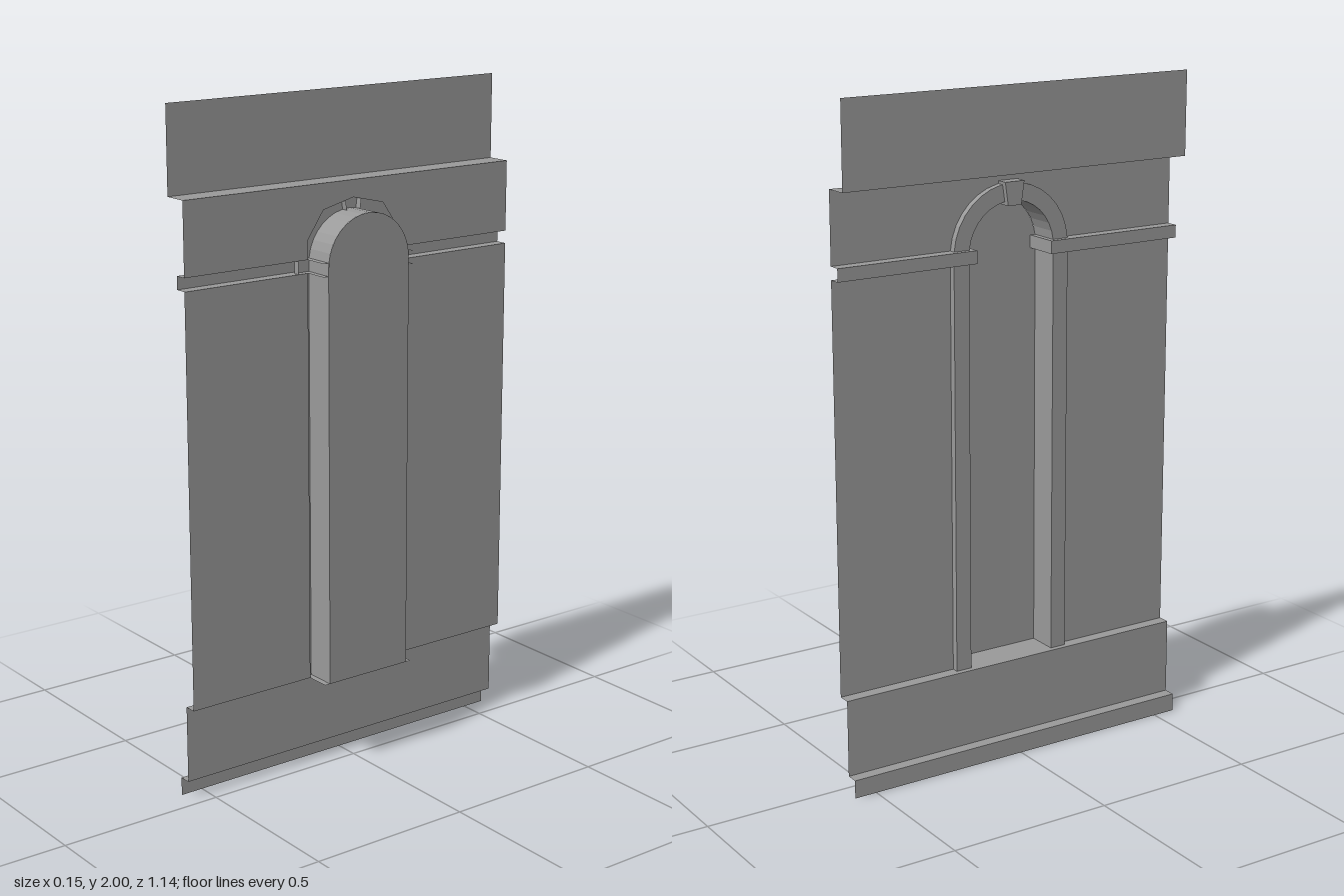
import * as THREE from 'three';

const material = new THREE.MeshStandardMaterial({ color: 0x9a9a9a, flatShading: true, side: THREE.DoubleSide });

// Key measures: half length, niche depth, niche and frame half widths, arch centre height
const HALF = 0.57, DEEP = 0.073, IN = 0.142, OUT = 0.192, OPEN = 0.16, SPRING = 1.525;
const FACE = -0.02, MOULD = -0.036, FLOOR = 0.287, M0 = 1.502, M1 = 1.54;

// Thin sheet of quads between two rows of [x, y, z] points
function sheet(a, b) {
  const p = [];
  for (let i = 0; i < a.length - 1; i++) {
    p.push(...a[i], ...a[i + 1], ...b[i + 1], ...a[i], ...b[i + 1], ...b[i]);
  }
  const g = new THREE.BufferGeometry();
  g.setAttribute('position', new THREE.Float32BufferAttribute(p, 3));
  g.computeVertexNormals();
  return g;
}

// Flat outline in [z, y], placed at a given x
function panel(points, x) {
  const shape = new THREE.Shape(points.map(([z, y]) => new THREE.Vector2(z, y)));
  return new THREE.ShapeGeometry(shape).rotateY(-Math.PI / 2).translate(x, 0, 0);
}

// Arch points [z, y] of radius r, starting at height y0
function arch(r, y0, n = 16) {
  const a0 = Math.asin((y0 - SPRING) / r);
  return Array.from({ length: n + 1 }, (_, i) => {
    const a = a0 + (Math.PI - 2 * a0) * i / n;
    return [r * Math.cos(a), SPRING + r * Math.sin(a)];
  });
}
const at = (pts, x) => pts.map(([z, y]) => [x, y, z]);

export function createModel() {
  const group = new THREE.Group();
  const add = (name, geometry) => {
    const mesh = new THREE.Mesh(geometry, material);
    mesh.name = name;
    group.add(mesh);
  };

  // Stepped profiles [x, y] running the full length
  const run = (name, profile) => add(name, sheet(
    profile.map(([x, y]) => [x, y, HALF]), profile.map(([x, y]) => [x, y, -HALF])));
  run('fascia', [[0, 1.75], [-0.073, 1.75], [-0.073, 2]]);
  run('plinth', [[-0.073, 0], [-0.073, 0.055], [-0.037, 0.055], [-0.037, FLOOR], [0, FLOOR]]);

  // Wall above the moulding, with a faceted opening
  add('upperWall', panel([
    [-HALF, M1], [-OPEN, M1], [-OPEN, 1.595], [-0.105, 1.675], [0, 1.7],
    [0.105, 1.675], [OPEN, 1.595], [OPEN, M1], [HALF, M1], [HALF, 1.75], [-HALF, 1.75]], 0));

  // Niche back, floor and arched soffit
  add('nicheBack', panel([[-IN, FLOOR], [IN, FLOOR], ...arch(IN, SPRING)], DEEP));
  add('nicheFloor', sheet([[0, FLOOR, OPEN], [DEEP, FLOOR, OPEN]], [[0, FLOOR, -OPEN], [DEEP, FLOOR, -OPEN]]));
  const inner = arch(IN, M1), outer = arch(OUT, M1);
  add('nicheSoffit', sheet(at(inner, FACE), at(inner, DEEP)));

  // Arched frame
  add('archFace', sheet(at(inner, FACE), at(outer, FACE)));
  add('archEdge', sheet(at(outer, FACE), at(outer, 0)));

  // Both sides: wall, jamb and wrapped moulding, from plan paths [x, z]
  for (const s of [1, -1]) {
    const side = s > 0 ? 'left' : 'right';
    const row = (path, y) => path.map(([x, z]) => [x, y, s * z]);
    const wall = [[0, HALF], [0, OPEN]];
    const jamb = [[0, OUT], [FACE, OUT], [FACE, IN], [DEEP, IN]];
    add(side + 'LowerWall', sheet(row(wall, FLOOR), row(wall, M0)));
    add(side + 'Jamb', sheet(row(jamb, FLOOR), row(jamb, M1)));

    // Open-backed moulding that turns into the niche
    const back = [...wall, [DEEP, OPEN]];
    const front = [[MOULD, HALF], [MOULD, 0.125], [DEEP, 0.125]];
    add(side + 'MouldingFace', sheet(row(front, M0), row(front, M1)));
    add(side + 'MouldingUnderside', sheet(row(back, M0), row(front, M0)));
    add(side + 'MouldingTop', sheet(row(back, M1), row(front, M1)));
  }

  // Tapered keystone, open at the back
  const key = [[-0.022, 1.655], [0.022, 1.655], [0.032, 1.723], [-0.032, 1.723]];
  const rim = [...key, key[0]];
  add('keystoneFace', panel(key, MOULD));
  add('keystoneSides', sheet(at(rim, MOULD), at(rim, 0)));

  return group;
}
